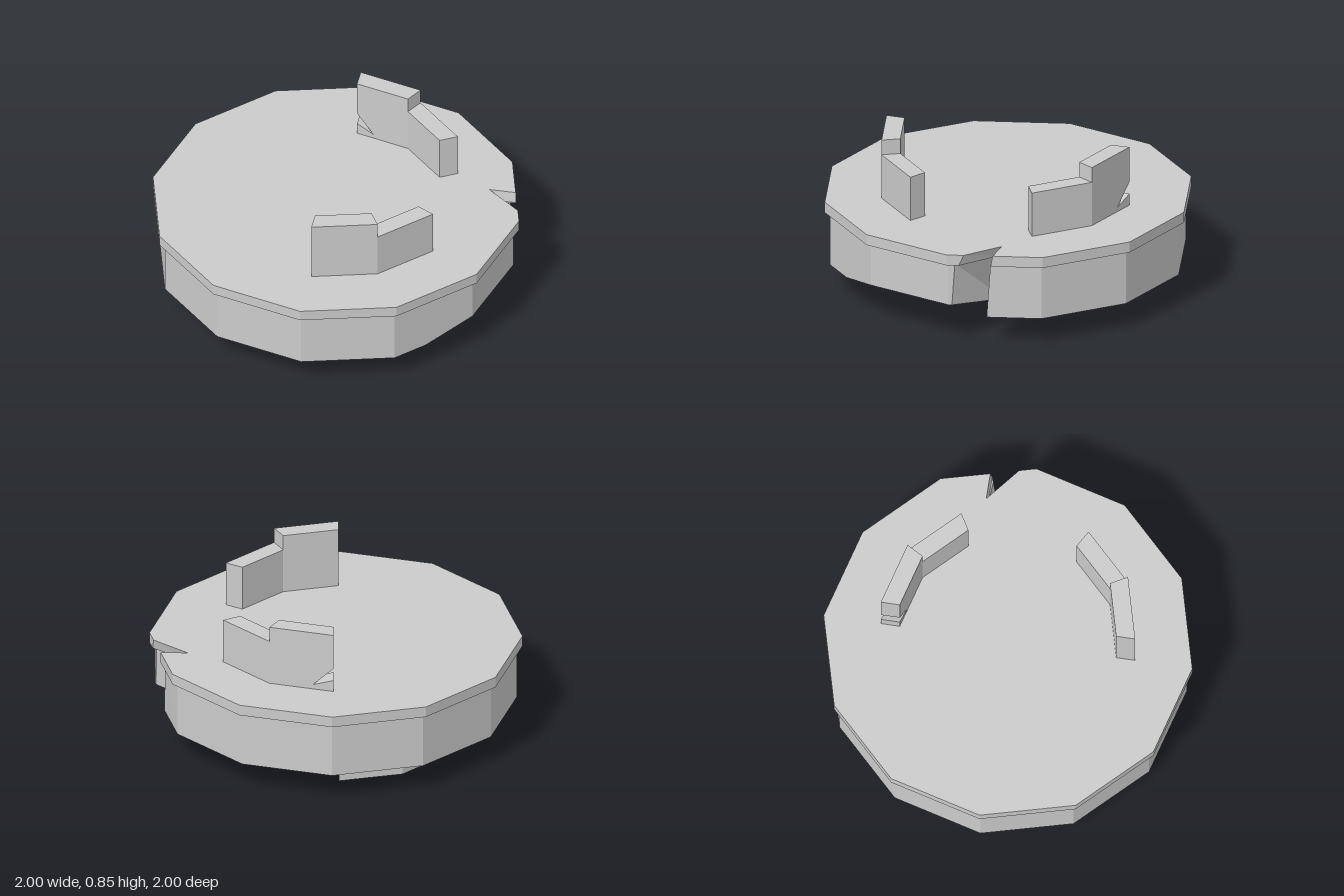
import * as THREE from 'three';

const material = new THREE.MeshStandardMaterial({ color: 0xcccccc, flatShading: true });

// Joins equal-length cross-sections into a closed solid; caps fan out from point 0.
function loft(name, rings) {
  const tris = [];
  const n = rings[0].length, last = rings[rings.length - 1];
  for (let r = 0; r < rings.length - 1; r++) {
    for (let i = 0; i < n; i++) {
      const j = (i + 1) % n, a = rings[r], b = rings[r + 1];
      tris.push([a[i], a[j], b[j]], [a[i], b[j], b[i]]);
    }
  }
  for (let i = 1; i < n - 1; i++) {
    tris.push([rings[0][0], rings[0][i + 1], rings[0][i]], [last[0], last[i], last[i + 1]]);
  }
  // Turn the faces outwards if the enclosed volume is negative
  let volume = 0;
  for (const [a, b, c] of tris) volume += a.dot(b.clone().cross(c));
  if (volume < 0) tris.forEach((t) => t.reverse());
  const geometry = new THREE.BufferGeometry().setFromPoints(tris.flat());
  geometry.computeVertexNormals();
  const mesh = new THREE.Mesh(geometry, material);
  mesh.name = name;
  return mesh;
}

const vec = (x, y, z) => new THREE.Vector3(x, y, z);
function polar(radius, degrees) {
  const a = THREE.MathUtils.degToRad(degrees);
  return [radius * Math.cos(a), radius * Math.sin(a)];
}

// Twelve-sided outline with a broken notch on the +x side
function outline(radius, y, inner, mouthFront, mouthBack, chipY = y) {
  const pts = [vec(inner[0], y, inner[1]), vec(mouthFront[0], chipY, mouthFront[1])];
  for (let i = 0; i < 12; i++) {
    const [x, z] = polar(radius, i * 30);
    pts.push(vec(x, i < 2 ? chipY : y, z));
    if (i === 1) { // end of the chipped lower edge
      const [x2, z2] = polar(radius, 60);
      pts.push(vec(x + (x2 - x) * 0.6, y, z + (z2 - z) * 0.6));
    }
  }
  pts.push(vec(mouthBack[0], y, mouthBack[1]));
  return pts;
}

export function createModel() {
  const model = new THREE.Group();

  // Platform: chipped underside, body, overhanging rim
  model.add(loft('platform', [
    outline(0.97, 0.15, [0.63, -0.2], [0.965, -0.02], [0.916, -0.2], 0.215),
    outline(0.97, 0.455, [0.77, -0.23], [0.961, -0.035], [0.911, -0.22]),
    outline(1, 0.455, [0.77, -0.23], [0.982, -0.065], [0.938, -0.23]),
    outline(1, 0.515, [0.79, -0.24], [0.976, -0.09], [0.935, -0.24]),
  ]));

  // Parapet walls on top: a tall and a low segment on each side
  const outer = [90, 60, 30].map((a) => polar(0.69, a));
  const inner = [90, 60, 30].map((a) => polar(0.587, a));
  const plain = (h) => [[0, 0.515], [0, h], [1, h], [1, 0.515]];
  const broken = [[0.32, 0.54], [0, 0.65], [0, 0.85], [1, 0.85], [1, 0.515], [0, 0.515], [0, 0.58]];
  function wall(name, k, profile, side) {
    const face = (line) => profile.map(([t, y]) => vec(
      THREE.MathUtils.lerp(line[k][0], line[k + 1][0], t), y,
      side * THREE.MathUtils.lerp(line[k][1], line[k + 1][1], t)));
    model.add(loft(name, [face(inner), face(outer)]));
  }
  wall('frontTallWall', 0, plain(0.85), 1);
  wall('frontLowWall', 1, plain(0.765), 1);
  wall('backTallWall', 0, broken, -1);
  wall('backLowWall', 1, plain(0.765), -1);

  // Broken half ring under the platform
  const stations = [[[-0.23, 0.675], [-0.17, 0.56]]];
  for (let a = 120; a <= 240; a += 30) stations.push([polar(0.74, a), polar(0.6, a)]);
  stations.push([[-0.03, -0.73], [-0.04, -0.6]]);
  model.add(loft('lowerRing', stations.map(([o, i]) => [
    vec(o[0], 0, o[1]), vec(o[0], 0.15, o[1]), vec(i[0], 0.15, i[1]), vec(i[0], 0, i[1]),
  ])));

  // Hanging ring fragments
  for (const s of [1, -1]) {
    model.add(loft(s > 0 ? 'frontFragment' : 'backFragment', [
      [vec(-0.05, 0.15, s * 0.69), vec(0.02, 0.05, s * 0.73), vec(0.2, 0.15, s * 0.68)],
      [vec(-0.02, 0.15, s * 0.56), vec(0.06, 0.08, s * 0.585), vec(0.2, 0.15, s * 0.55)],
    ]));
  }
  return model;
}
